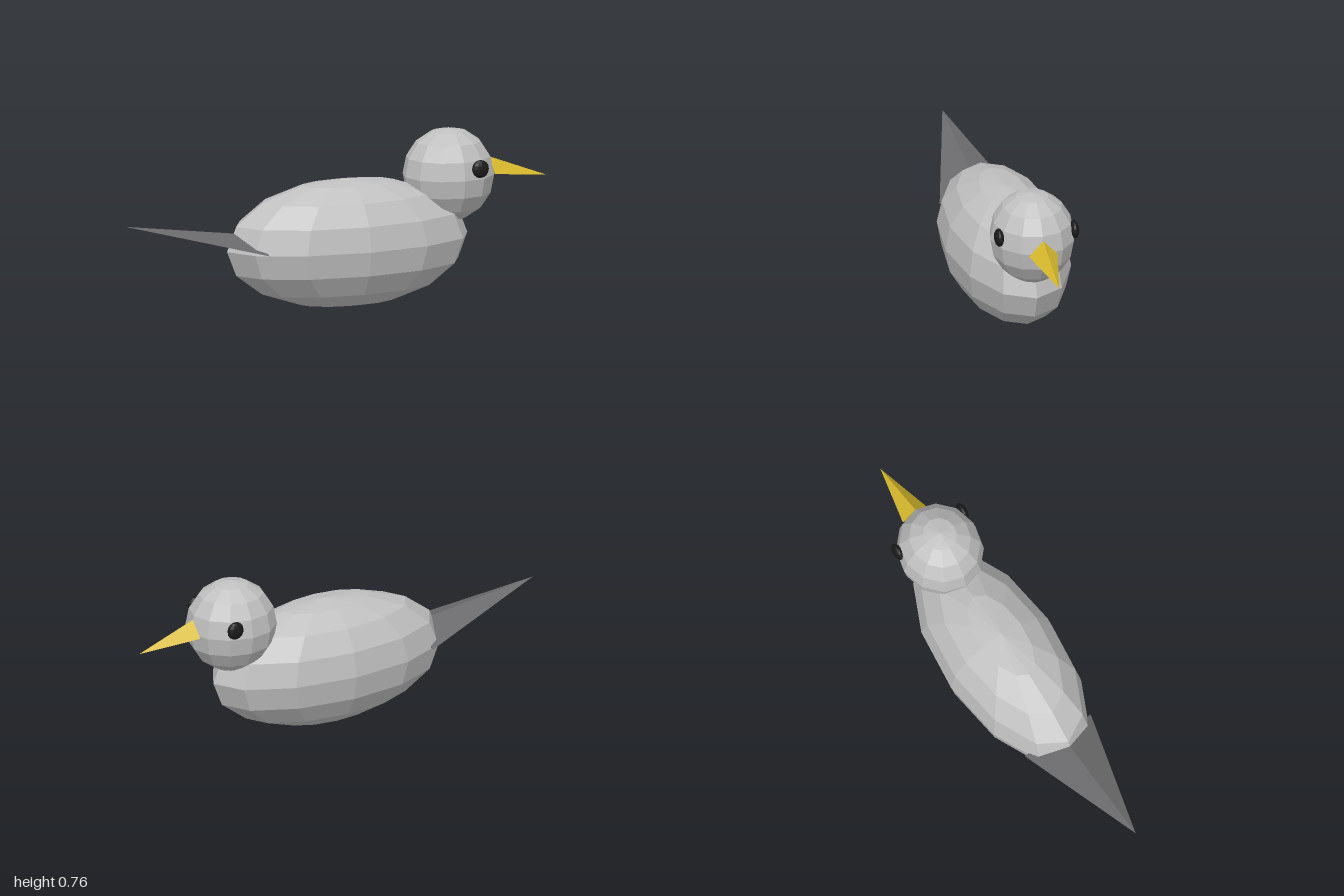
import * as THREE from 'three';

const material = (name, color) => {
  const m = new THREE.MeshStandardMaterial({ color });
  m.name = name;
  return m;
};

// Give every face its own normal for the faceted look
function faceted(geometry) {
  const g = geometry.index ? geometry.toNonIndexed() : geometry;
  g.computeVertexNormals();
  return g;
}

// Low-poly ellipsoid
function ellipsoid(name, mat, [x, y, z], [rx, ry, rz], around = 12, rows = 8) {
  const g = new THREE.SphereGeometry(1, around, rows).scale(rx, ry, rz);
  const mesh = new THREE.Mesh(faceted(g), mat);
  mesh.name = name;
  mesh.position.set(x, y, z);
  return mesh;
}

// Three-sided spike along x: a tip, and a triangular base with a ridge on top
function spike(name, mat, tipX, tipY, baseX, ridgeY, sideY, halfWidth) {
  const w = halfWidth * Math.sign(tipX - baseX);
  const tip = [tipX, tipY, 0];
  const ridge = [baseX, ridgeY, 0];
  const a = [baseX, sideY, w];
  const b = [baseX, sideY, -w];
  const corners = [tip, ridge, a, tip, b, ridge, tip, a, b, ridge, b, a].flat();
  const g = new THREE.BufferGeometry();
  g.setAttribute('position', new THREE.Float32BufferAttribute(corners, 3));
  const mesh = new THREE.Mesh(faceted(g), mat);
  mesh.name = name;
  return mesh;
}

export function createModel() {
  const plumage = material('light grey plumage', 0xc0c0c0);
  const tailGrey = material('dark grey tail', 0x6a6a6c);
  const yellow = material('yellow beak', 0xd6b82c);
  const black = material('black eye', 0x1a1a1a);

  const bird = new THREE.Group();
  bird.name = 'bird';

  // Body and head
  bird.add(ellipsoid('body', plumage, [0.053, 0.287, 0], [0.57, 0.285, 0.263]));
  bird.add(ellipsoid('head', plumage, [0.533, 0.551, 0], [0.204, 0.207, 0.187]));

  // Eyes, mirrored across the head
  for (const side of [1, -1]) {
    const name = side > 0 ? 'rightEye' : 'leftEye';
    bird.add(ellipsoid(name, black, [0.612, 0.597, side * 0.169], [0.04, 0.04, 0.021]));
  }

  // Beak and tail
  bird.add(spike('beak', yellow, 1, 0.51, 0.728, 0.613, 0.546, 0.064));
  bird.add(spike('tail', tailGrey, -1, 0.438, -0.39, 0.354, 0.29, 0.173));

  return bird;
}
